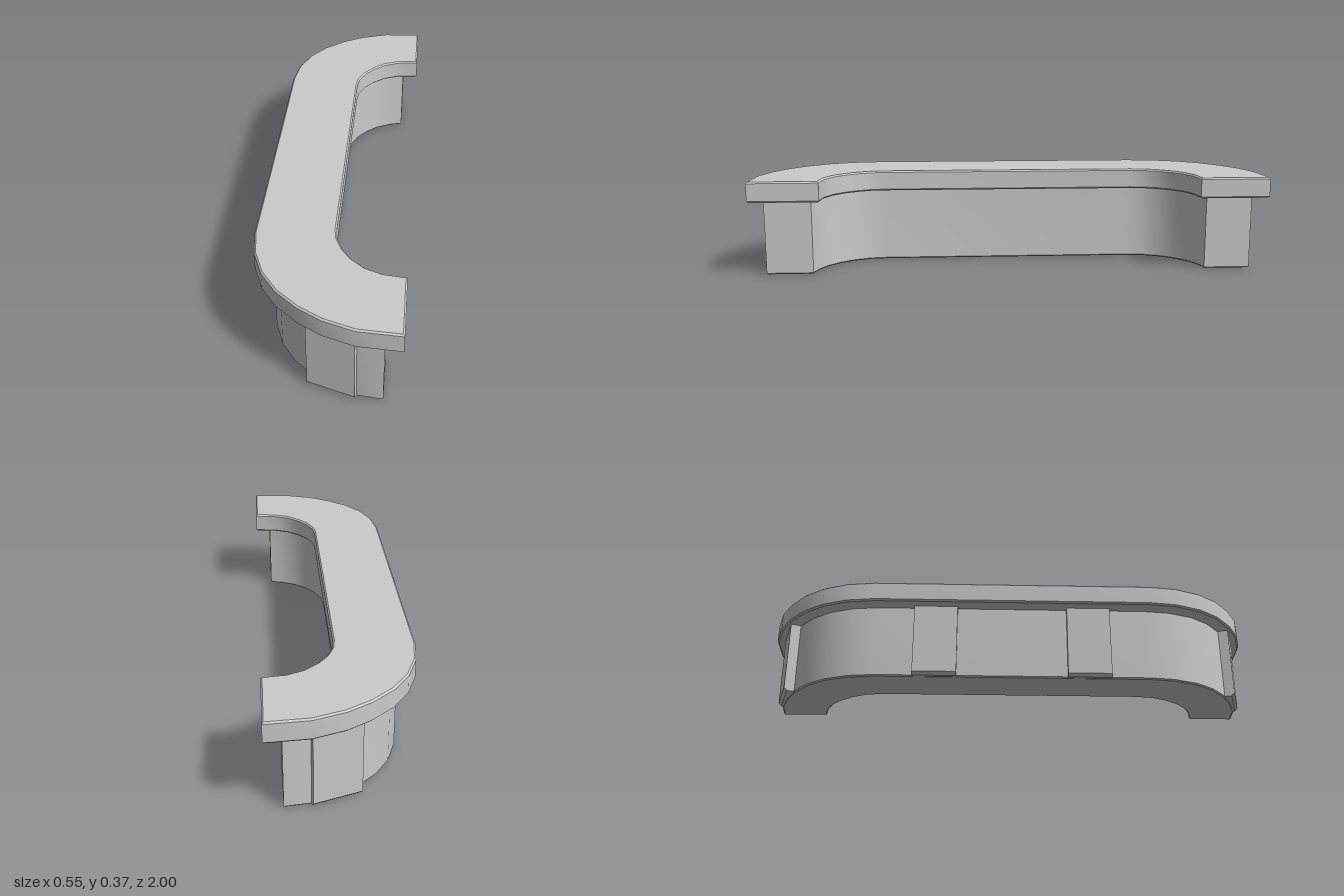
import * as THREE from 'three';
import { toCreasedNormals } from 'three/addons/utils/BufferGeometryUtils.js';

const material = new THREE.MeshStandardMaterial({ color: 0xcccccc });

function addMesh(parent, name, geometry) {
  const mesh = new THREE.Mesh(toCreasedNormals(geometry, 0.55), material);
  mesh.name = name;
  parent.add(mesh);
  return mesh;
}

// C-shaped slab: half outlines run from the straight wall to the open end, mirrored in z
function cSlab(outer, inner, y0, y1, bevel) {
  const flip = (pts) => pts.map(([x, z]) => [x, -z]);
  const outline = [
    ...outer, ...[...inner].reverse(),
    ...flip(inner), ...flip(outer).reverse(),
  ].map(([x, z]) => new THREE.Vector2(x, z));
  const geometry = new THREE.ExtrudeGeometry(new THREE.Shape(outline), {
    depth: y1 - y0 - 2 * bevel,
    bevelThickness: bevel, bevelSize: bevel, bevelOffset: -bevel, bevelSegments: 1,
  });
  return geometry.rotateX(-Math.PI / 2).translate(0, y0 + bevel, 0);
}

export function createModel() {
  const group = new THREE.Group();
  group.name = 'handle';

  // Wide rim on top
  addMesh(group, 'topFlange', cSlab(
    [[-0.275, 0.54], [-0.26, 0.65], [-0.22, 0.75], [-0.16, 0.833], [-0.08, 0.902],
      [0.005, 0.952], [0.118, 0.99], [0.275, 1]],
    [[0.015, 0.5], [0.021, 0.55], [0.045, 0.606], [0.08, 0.653], [0.13, 0.695],
      [0.19, 0.72], [0.275, 0.73]],
    0.293, 0.373, 0.006));

  // Narrower wall below the rim
  addMesh(group, 'lowerWall', cSlab(
    [[-0.21, 0.53], [-0.198, 0.63], [-0.163, 0.725], [-0.11, 0.8], [-0.04, 0.862],
      [0.03, 0.905], [0.125, 0.94], [0.213, 0.95]],
    [[-0.025, 0.5], [-0.016, 0.57], [0.01, 0.63], [0.05, 0.685], [0.1, 0.728],
      [0.16, 0.757], [0.213, 0.77]],
    0, 0.3, 0.005));

  // Shallow ribs with a chamfered foot; local +x points outwards
  const profile = new THREE.Shape([
    [-0.04, 0.001], [-0.012, 0.001], [0, 0.013], [0, 0.3], [-0.04, 0.3],
  ].map(([u, y]) => new THREE.Vector2(u, y)));
  const addRib = (name, x, z, angle, width) => {
    const geometry = new THREE.ExtrudeGeometry(profile, { depth: width, bevelEnabled: false });
    const rib = addMesh(group, name, geometry.translate(0, 0, -width / 2));
    rib.position.set(x, 0, z);
    rib.rotation.y = angle;
  };
  for (const s of [1, -1]) {
    const side = s > 0 ? 'front' : 'back';
    addRib(side + 'SideRib', -0.23, s * 0.3, Math.PI, 0.17);
    addRib(side + 'EndRib', 0.03, s * 0.928, -s * (Math.PI / 2 + 0.314), 0.178);
  }
  return group;
}
